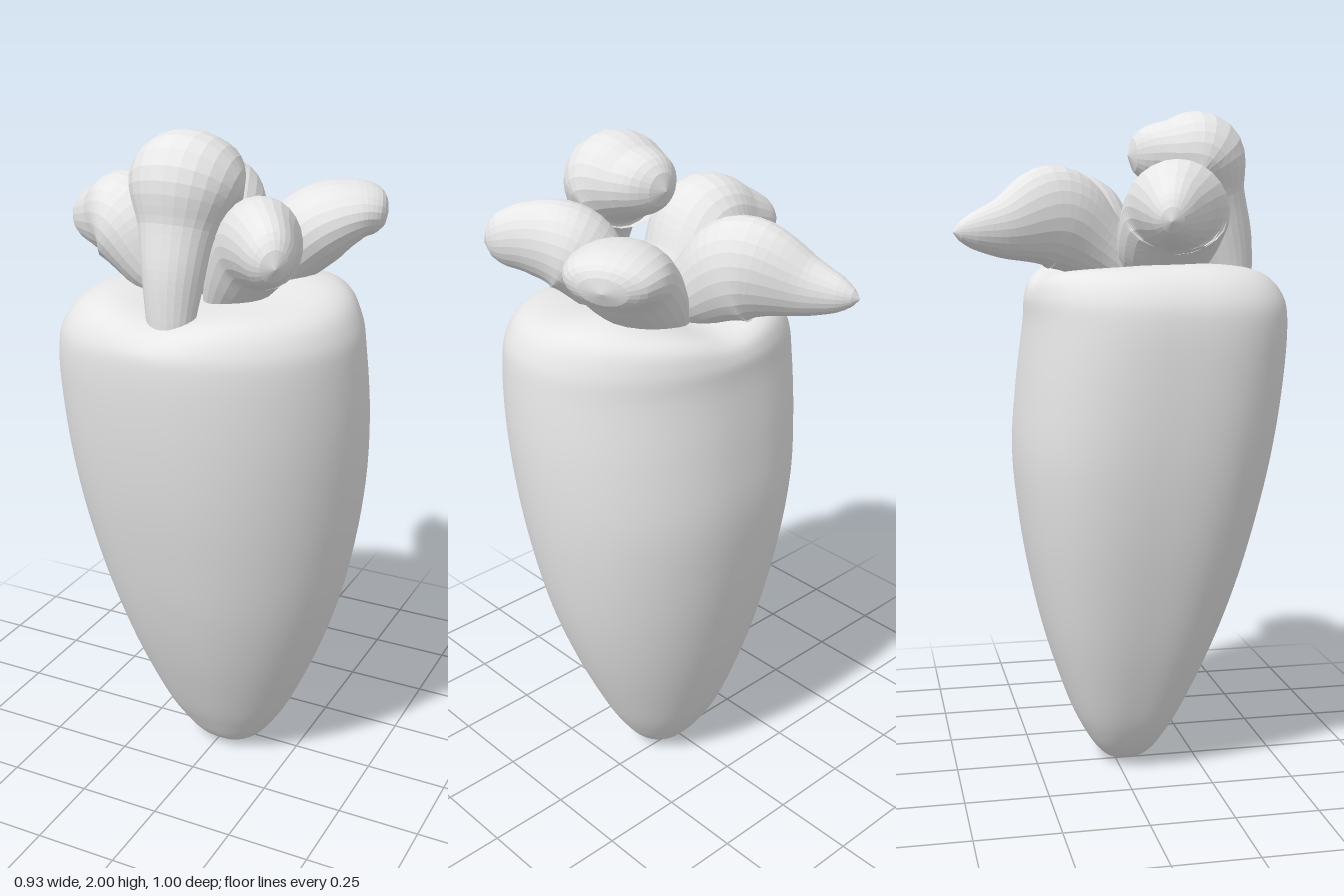
import * as THREE from 'three';

const V = (x, y, z) => new THREE.Vector3(x, y, z);
const spline = (pts) => new THREE.CatmullRomCurve3(pts, false, 'catmullrom', 0.5);

// Skin a stack of closed rings; point(u, angle) gives each vertex
function skin(rows, sides, point) {
  const pos = [], idx = [];
  for (let i = 0; i <= rows; i++)
    for (let j = 0; j < sides; j++) pos.push(...point(i / rows, (j / sides) * Math.PI * 2).toArray());
  for (let i = 0; i < rows; i++)
    for (let j = 0; j < sides; j++) {
      const a = i * sides + j, b = i * sides + ((j + 1) % sides);
      idx.push(a, a + sides, b, b, a + sides, b + sides);
    }
  const g = new THREE.BufferGeometry();
  g.setAttribute('position', new THREE.Float32BufferAttribute(pos, 3));
  g.setIndex(idx);
  g.computeVertexNormals();
  return g;
}

// Root: extents [y, left, right, back, front] up the body, then in over the crown
function rootGeometry() {
  const rows = [
    [0, 0.03, 0.031, 0.03, 0.031], [0.01, -0.025, 0.085, -0.02, 0.075],
    [0.04, -0.072, 0.132, -0.056, 0.112], [0.1, -0.12, 0.18, -0.097, 0.152],
    [0.2, -0.172, 0.238, -0.145, 0.207], [0.4, -0.245, 0.325, -0.212, 0.295],
    [0.6, -0.302, 0.39, -0.26, 0.365], [0.8, -0.348, 0.432, -0.293, 0.418],
    [1.0, -0.38, 0.457, -0.31, 0.46], [1.2, -0.397, 0.465, -0.297, 0.487],
    [1.38, -0.4, 0.455, -0.275, 0.497], [1.47, -0.38, 0.437, -0.268, 0.482],
    [1.53, -0.32, 0.385, -0.24, 0.425], [1.548, -0.22, 0.27, -0.16, 0.31],
    [1.548, 0.025, 0.026, 0.08, 0.081],
  ];
  const xs = spline(rows.map((r) => V(r[1], r[0], r[2])));
  const zs = spline(rows.map((r) => V(r[3], r[0], r[4])));
  return skin(84, 64, (u, a) => {
    const p = xs.getPoint(u), q = zs.getPoint(u), c = Math.cos(a), s = Math.sin(a);
    // Squarer corners on the left, rounder on the right
    const n = c < 0 ? (s > 0 ? 2.9 : 2.6) : 2;
    const k = Math.pow(Math.abs(c) ** n + Math.abs(s) ** n, -1 / n);
    const x = (p.x + p.z) / 2 + (k * c * (p.z - p.x)) / 2;
    const z = (q.x + q.z) / 2 + (k * s * (q.z - q.x)) / 2;
    // Raised shoulders either side of a shallow valley in the crown
    const crown = THREE.MathUtils.smoothstep(p.y, 1.42, 1.548);
    const bump = 0.035 * Math.exp(-(((x - 0.25) / 0.17) ** 2) - (z / 0.16) ** 2)
      + 0.015 * Math.exp(-(((x + 0.2) / 0.13) ** 2) - ((z - 0.2) / 0.22) ** 2)
      - 0.03 * Math.exp(-((x / 0.12) ** 2));
    return V(x, p.y + crown * bump, z);
  });
}

// Leaf: sections [x, y, z, half width, half thickness] from base to tip, faceted
function leafGeometry(sections) {
  const path = spline(sections.map((s) => V(s[0], s[1], s[2])));
  const size = spline(sections.map((s) => V(s[3], s[4], 0)));
  const heading = path.getPoint(1).sub(path.getPoint(0)).setY(0).normalize();
  const wide = heading.cross(V(0, 1, 0)).normalize();
  const g = skin(30, 24, (u, a) => {
    const thick = wide.clone().cross(path.getTangent(u)).normalize();
    const s = size.getPoint(u);
    const end = Math.max(0, (u - 0.88) / 0.12, (0.04 - u) / 0.04);
    const round = Math.sqrt(Math.max(0, 1 - end * end));
    return path.getPoint(u)
      .addScaledVector(wide, Math.cos(a) * s.x * round)
      .addScaledVector(thick, Math.sin(a) * s.y * round);
  }).toNonIndexed();
  g.computeVertexNormals();
  return g;
}

const LEAVES = {
  frontLeaf: [
    [0.01, 1.46, 0.375, 0.06, 0.05], [0.005, 1.62, 0.34, 0.085, 0.08], [0, 1.75, 0.305, 0.11, 0.09],
    [0, 1.857, 0.25, 0.16, 0.143], [0, 1.875, 0.145, 0.125, 0.1], [0, 1.872, 0.035, 0.06, 0.065],
  ],
  leftLeaf: [
    [-0.03, 1.5, 0.12, 0.09, 0.06], [-0.13, 1.605, 0.125, 0.145, 0.1], [-0.235, 1.715, 0.13, 0.15, 0.135],
    [-0.355, 1.705, 0.095, 0.09, 0.098], [-0.468, 1.68, 0.06, 0.04, 0.045],
  ],
  frontRightLeaf: [
    [0.05, 1.5, 0.13, 0.06, 0.06], [0.13, 1.615, 0.165, 0.105, 0.1], [0.2, 1.71, 0.215, 0.122, 0.125],
    [0.265, 1.73, 0.32, 0.09, 0.105], [0.345, 1.71, 0.43, 0.052, 0.06],
  ],
  backRightLeaf: [
    [0.05, 1.5, 0.01, 0.09, 0.06], [0.15, 1.615, -0.03, 0.13, 0.1], [0.25, 1.71, -0.07, 0.15, 0.11],
    [0.34, 1.75, -0.13, 0.145, 0.082], [0.42, 1.74, -0.175, 0.095, 0.055],
  ],
  backLeaf: [
    [-0.02, 1.5, 0.05, 0.08, 0.06], [-0.035, 1.61, -0.07, 0.095, 0.11], [-0.08, 1.69, -0.2, 0.105, 0.15],
    [-0.165, 1.66, -0.36, 0.07, 0.085], [-0.212, 1.65, -0.5, 0.025, 0.028],
  ],
};

export function createModel() {
  const grey = new THREE.MeshStandardMaterial({ color: 0xe7e7e7 });
  grey.name = 'light grey';
  const model = new THREE.Group();
  model.name = 'rootVegetable';
  const add = (name, geometry) => {
    const mesh = new THREE.Mesh(geometry, grey);
    mesh.name = name;
    model.add(mesh);
  };
  add('root', rootGeometry());
  for (const [name, sections] of Object.entries(LEAVES)) add(name, leafGeometry(sections));
  return model;
}
